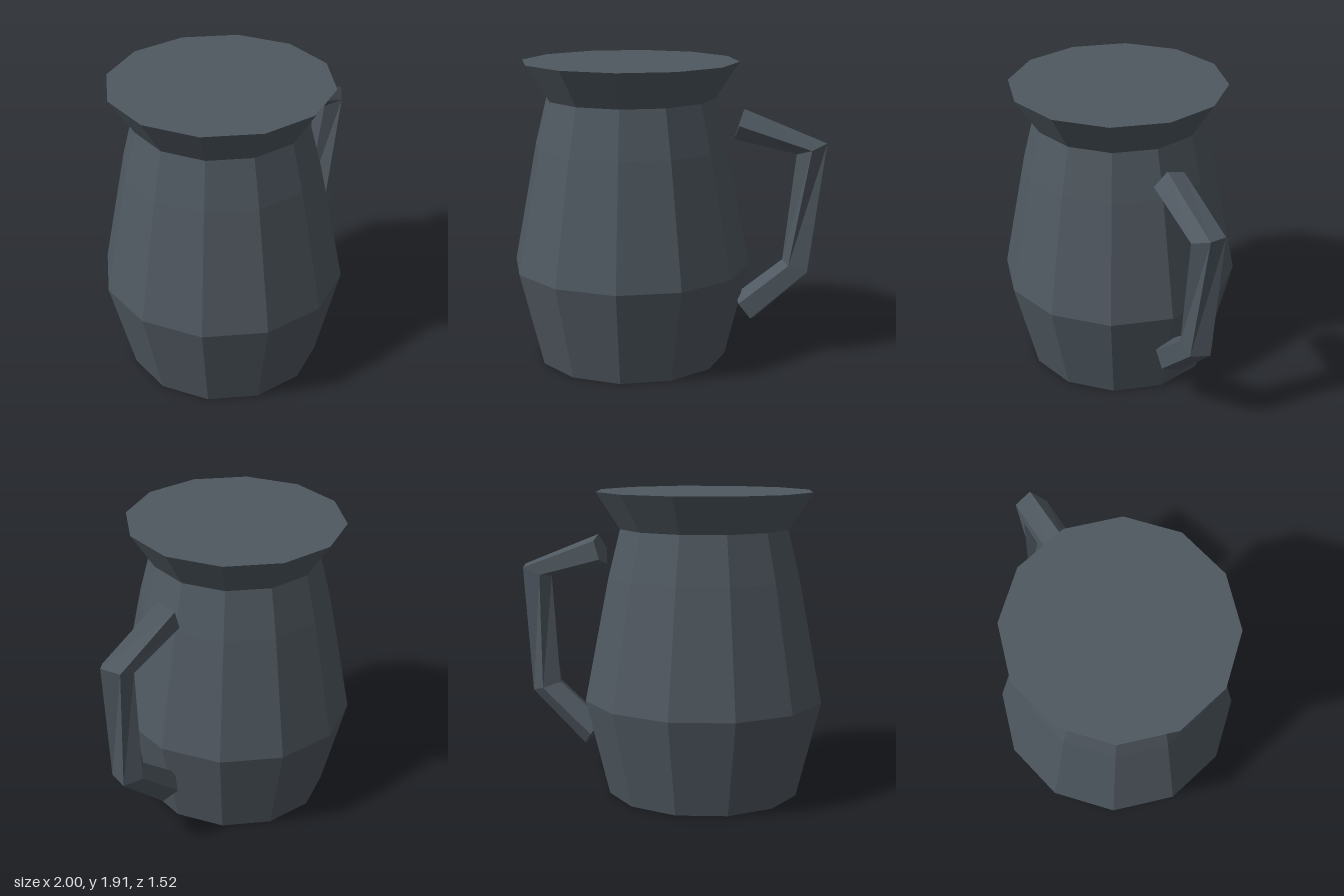
import * as THREE from 'three';

const material = new THREE.MeshStandardMaterial({ color: 0x4f5860, flatShading: true });

// Twelve-sided pitcher body with a flared, closed rim
function createBody() {
  const profile = [
    [0, 0], [0.61, 0], [0.76, 0.61], [0.61, 1.38], [0.535, 1.68], [0.685, 1.91], [0, 1.91],
  ].map(([r, y]) => new THREE.Vector2(r, y));
  const body = new THREE.Mesh(new THREE.LatheGeometry(profile, 12), material);
  body.name = 'body';
  body.position.x = -0.24;
  return body;
}

// Five-sided handle swept through four rings, twisting between the two bends
function createHandle() {
  const sides = 5;
  const radius = 0.106;
  // ring centre, outward direction of the ring, roll in degrees
  const rings = [
    { x: 0.45, y: 1.525, out: [0.3, 0.95], roll: 19 },
    { x: 0.904, y: 1.375, out: [0.93, 0.36], roll: 19 },
    { x: 0.83, y: 0.607, out: [0.95, -0.31], roll: 53 },
    { x: 0.498, y: 0.318, out: [0.62, -0.78], roll: 53 },
  ];
  const positions = [];
  const index = [];
  for (const { x, y, out, roll } of rings) {
    for (let j = 0; j < sides; j++) {
      const a = THREE.MathUtils.degToRad(roll + (j * 360) / sides);
      const u = radius * Math.cos(a);
      positions.push(x + out[0] * u, y + out[1] * u, radius * Math.sin(a));
    }
  }
  // side faces
  for (let i = 0; i < rings.length - 1; i++) {
    for (let j = 0; j < sides; j++) {
      const k = (j + 1) % sides;
      const a = i * sides + j, b = i * sides + k;
      index.push(a, b, b + sides, a, b + sides, a + sides);
    }
  }
  // end caps
  const last = (rings.length - 1) * sides;
  for (let j = 1; j < sides - 1; j++) {
    index.push(0, j + 1, j, last, last + j, last + j + 1);
  }
  const geometry = new THREE.BufferGeometry();
  geometry.setAttribute('position', new THREE.Float32BufferAttribute(positions, 3));
  geometry.setIndex(index);
  geometry.computeVertexNormals();
  const handle = new THREE.Mesh(geometry, material);
  handle.name = 'handle';
  return handle;
}

export function createModel() {
  const pitcher = new THREE.Group();
  pitcher.name = 'pitcher';
  pitcher.add(createBody(), createHandle());
  return pitcher;
}
